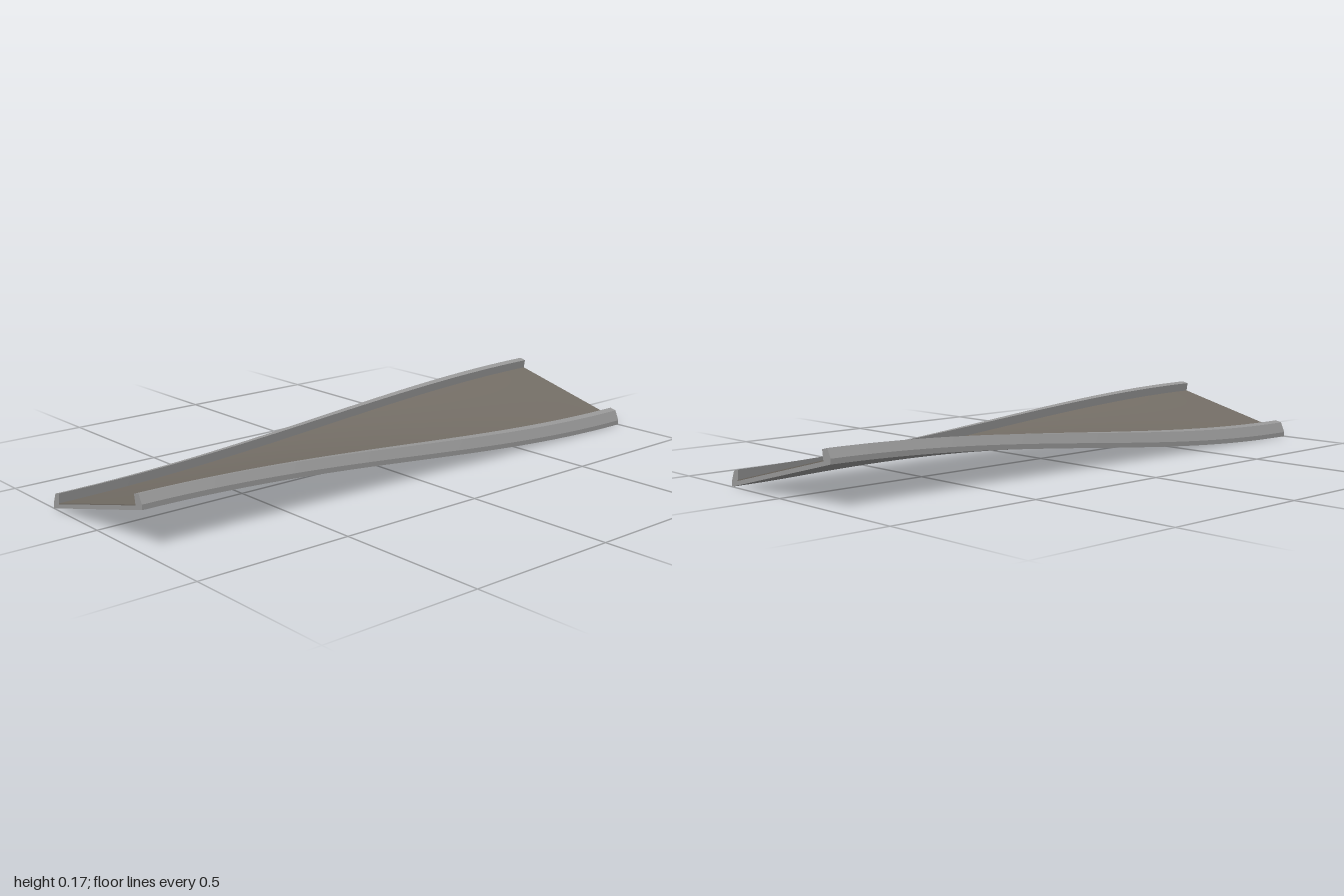
import * as THREE from 'three';
import { toCreasedNormals } from 'three/addons/utils/BufferGeometryUtils.js';

const LENGTH = 2, STEPS = 64;

// Banks the strip smoothly from one side to the other along its length
function bank(geometry) {
  const p = geometry.attributes.position;
  for (let i = 0; i < p.count; i++) {
    const tilt = 0.25 * Math.sin(p.getZ(i) * Math.PI / 2);
    p.setY(i, p.getY(i) + 0.0632 + p.getX(i) * tilt);
  }
  return toCreasedNormals(geometry, 0.35);
}

// Sweeps a cross-section along z
function sweep(points) {
  const shape = new THREE.Shape(points.map(([x, y]) => new THREE.Vector2(x, y)));
  const g = new THREE.ExtrudeGeometry(shape, { depth: LENGTH, steps: STEPS, bevelEnabled: false });
  g.translate(0, 0, -LENGTH / 2);
  return bank(g);
}

export function createModel() {
  const group = new THREE.Group();
  const concrete = new THREE.MeshStandardMaterial({ color: 0x999999 });
  concrete.name = 'concrete grey';
  const asphalt = new THREE.MeshStandardMaterial({ color: 0x746e66 });
  asphalt.name = 'warm asphalt';
  const add = (name, geometry, material) => {
    const mesh = new THREE.Mesh(geometry, material);
    mesh.name = name;
    group.add(mesh);
  };

  // Channel: underside, outer edges and both bevelled kerbs
  const kerb = [[0.25, 0], [0.25, 0.0155], [0.235, 0.046], [0.212, 0.046], [0.217, 0.013]];
  const mirrored = kerb.map(([x, y]) => [-x, y]).reverse();
  add('deckAndKerbs', sweep([...kerb, ...mirrored]), concrete);

  // Road surface laid between the kerbs
  const road = new THREE.BoxGeometry(0.434, 0.003, LENGTH, 8, 1, STEPS);
  road.translate(0, 0.0145, 0);
  add('roadSurface', bank(road), asphalt);

  return group;
}
